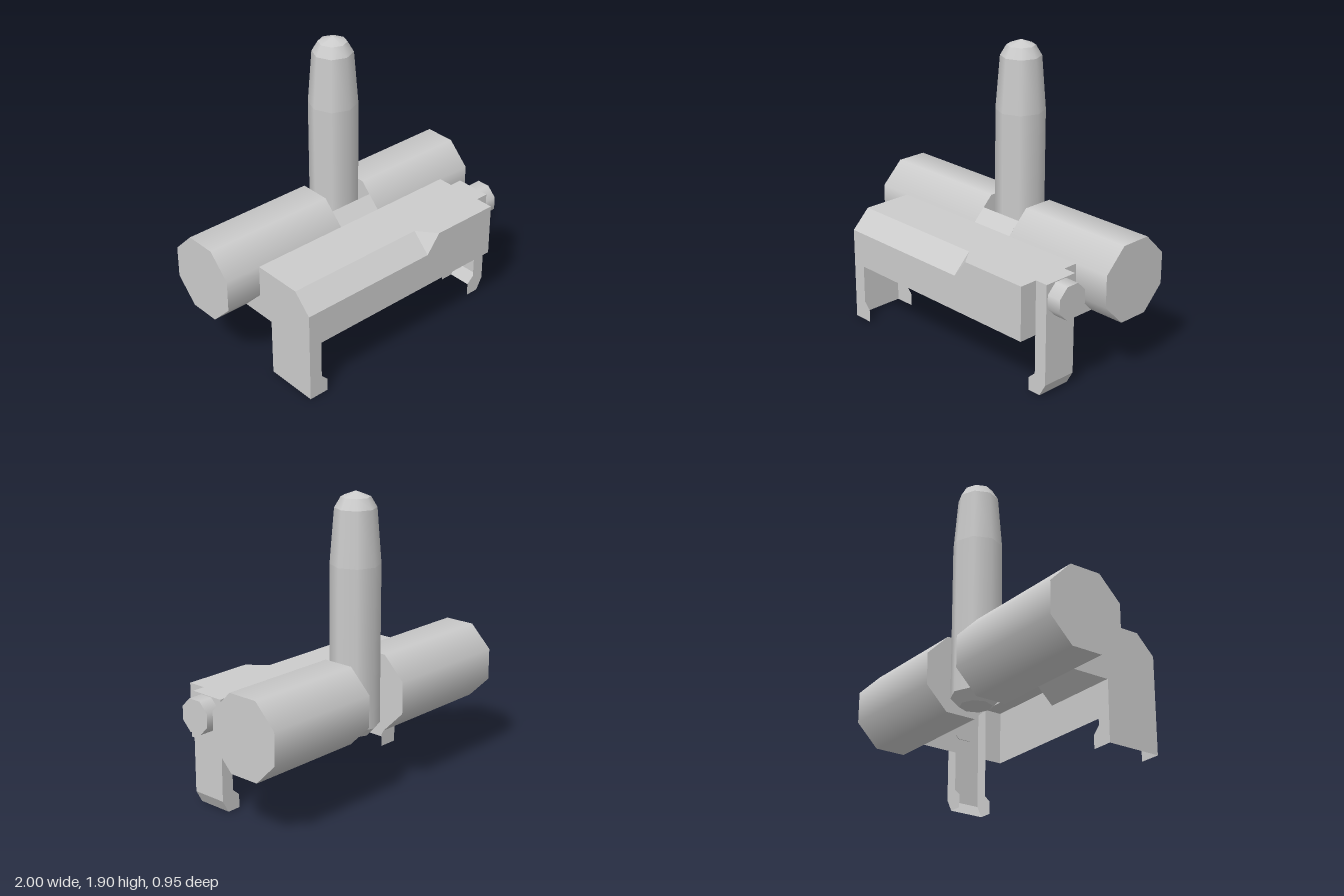
import * as THREE from 'three';

const grey = new THREE.MeshStandardMaterial({ color: 0xcccccc });
const thin = new THREE.MeshStandardMaterial({ color: 0xcccccc, side: THREE.DoubleSide, flatShading: true });

// Main levels of the bracket
const TOP = 0.73, LOW = 0.38, LEFT = -0.76, RIGHT = 0.76, OUT = 0.845;
const FRONT = 0.475, BEVEL = 0.355, INNER = 0.12;
// Octagonal barrel
const AXIS_Y = 0.627, AXIS_Z = -0.228, APOTHEM = 0.247;
const FACE = AXIS_Z + APOTHEM;

function add(parent, name, geometry, material = grey) {
  const mesh = new THREE.Mesh(geometry, material);
  mesh.name = name;
  parent.add(mesh);
  return mesh;
}

// Flat open panel: a 2D outline placed in space by a mapping
function panel(parent, name, outline, place) {
  const shape = new THREE.Shape(outline.map(([u, v]) => new THREE.Vector2(u, v)));
  const geo = new THREE.ShapeGeometry(shape);
  const p = geo.attributes.position;
  for (let i = 0; i < p.count; i++) p.setXYZ(i, ...place(p.getX(i), p.getY(i)));
  geo.computeVertexNormals();
  return add(parent, name, geo, thin);
}

const atX = (x) => (z, y) => [x, y, z];
const atZ = (z) => (x, y) => [x, y, z];

// Eight-sided bar along x with flats facing up and sideways
function octagonBar(parent, name, x0, x1, y, z, apothem) {
  const r = apothem / Math.cos(Math.PI / 8);
  const geo = new THREE.CylinderGeometry(r, r, x1 - x0, 8);
  geo.rotateY(Math.PI / 8).rotateZ(Math.PI / 2).translate((x0 + x1) / 2, y, z);
  return add(parent, name, geo);
}

function buildBarrel() {
  const g = new THREE.Group();
  g.name = 'barrel';
  octagonBar(g, 'barrelRight', -1, -0.11, AXIS_Y, AXIS_Z, APOTHEM);
  octagonBar(g, 'barrelLeft', 0.2, 1, AXIS_Y, AXIS_Z, APOTHEM);
  // Narrow strip of the barrel left in front of the slot
  const s = new THREE.Shape([[-FACE, TOP], [0.06, 0.808], [0.06, 0.447], [-FACE, 0.525]]
    .map(([u, v]) => new THREE.Vector2(u, v)));
  const strip = new THREE.ExtrudeGeometry(s, { depth: 0.31, bevelEnabled: false });
  strip.rotateY(Math.PI / 2).translate(-0.11, 0, 0);
  add(g, 'slotBridge', strip);
  return g;
}

function buildLever() {
  const g = new THREE.Group();
  g.name = 'lever';
  const sections = {
    leverShaft: [[0.155, 0.45], [0.155, 1.46]],
    leverTaper: [[0.155, 1.46], [0.128, 1.8]],
    leverShoulder: [[0.128, 1.8], [0.09, 1.865]],
    leverTip: [[0.09, 1.865], [0, 1.9]],
    leverFoot: [[0.1, 0.39], [0.155, 0.45]],
    leverBase: [[0, 0.39], [0.1, 0.39]],
  };
  for (const [name, pts] of Object.entries(sections)) {
    add(g, name, new THREE.LatheGeometry(pts.map(([r, y]) => new THREE.Vector2(r, y)), 8));
  }
  g.position.set(0.045, 0, -0.225);
  return g;
}

// Open-bottomed shell with a hooked jaw on its right end
function buildBracket() {
  const g = new THREE.Group();
  g.name = 'bracket';
  const hook = [[-0.67, LOW], [-0.67, 0.13], [-0.625, 0.085], [-0.625, 0], [LEFT, 0]];
  panel(g, 'topPlate', [[LEFT, FACE], [LEFT, BEVEL], [0.2, BEVEL], [0.295, FRONT], [RIGHT, FRONT],
    [RIGHT, BEVEL], [OUT, BEVEL], [OUT, INNER], [RIGHT, INNER], [RIGHT, FACE]], (x, z) => [x, TOP, z]);
  panel(g, 'frontPlate', [[LEFT, 0.61], [0.2, 0.61], [0.295, TOP], [RIGHT, TOP], [RIGHT, LOW], ...hook], atZ(FRONT));
  panel(g, 'frontBevel', [[LEFT, BEVEL], [0.2, BEVEL], [0.2, FRONT], [LEFT, FRONT]],
    (x, z) => [x, TOP - (z - BEVEL), z]);
  panel(g, 'bevelEnd', [[0.2, BEVEL], [0.2, FRONT], [0.295, FRONT]],
    (x, z) => [x, x > 0.25 ? TOP : TOP - (z - BEVEL), z]);

  // End walls follow the underside of the barrel
  const underBarrel = [[INNER, LOW], [AXIS_Z + 0.102, LOW], [FACE, 0.525]];
  panel(g, 'rightEndWall', [[FACE, TOP], [BEVEL, TOP], [FRONT, 0.61], [FRONT, 0], [INNER, 0], ...underBarrel], atX(LEFT));
  panel(g, 'rightJawBack', [[LEFT, LOW], ...hook], atZ(INNER));
  panel(g, 'leftEndWallBack', [[FACE, TOP], [INNER, TOP], ...underBarrel], atX(RIGHT));
  panel(g, 'leftEndWallFront', [[BEVEL, TOP], [FRONT, TOP], [FRONT, LOW], [BEVEL, LOW]], atX(RIGHT));
  return g;
}

function buildClamp() {
  const g = new THREE.Group();
  g.name = 'clamp';
  const side = [[RIGHT, TOP], [OUT, TOP], [OUT, 0.08], [0.8, 0], [0.71, 0], [0.71, 0.085], [RIGHT, 0.13]];
  panel(g, 'clampFrontSide', side, atZ(BEVEL));
  panel(g, 'clampBackSide', side, atZ(INNER));
  panel(g, 'clampOuterWall', [[INNER, TOP], [BEVEL, TOP], [BEVEL, 0.08], [INNER, 0.08]], atX(OUT));
  panel(g, 'clampToe', [[INNER, 0.08], [BEVEL, 0.08], [BEVEL, 0], [INNER, 0]],
    (z, y) => [0.8 + (y / 0.08) * (OUT - 0.8), y, z]);
  octagonBar(g, 'clampKnob', OUT - 0.005, 0.94, 0.62, 0.24, 0.105);
  return g;
}

export function createModel() {
  const model = new THREE.Group();
  model.name = 'leverMount';
  model.add(buildBarrel(), buildLever(), buildBracket(), buildClamp());
  return model;
}
